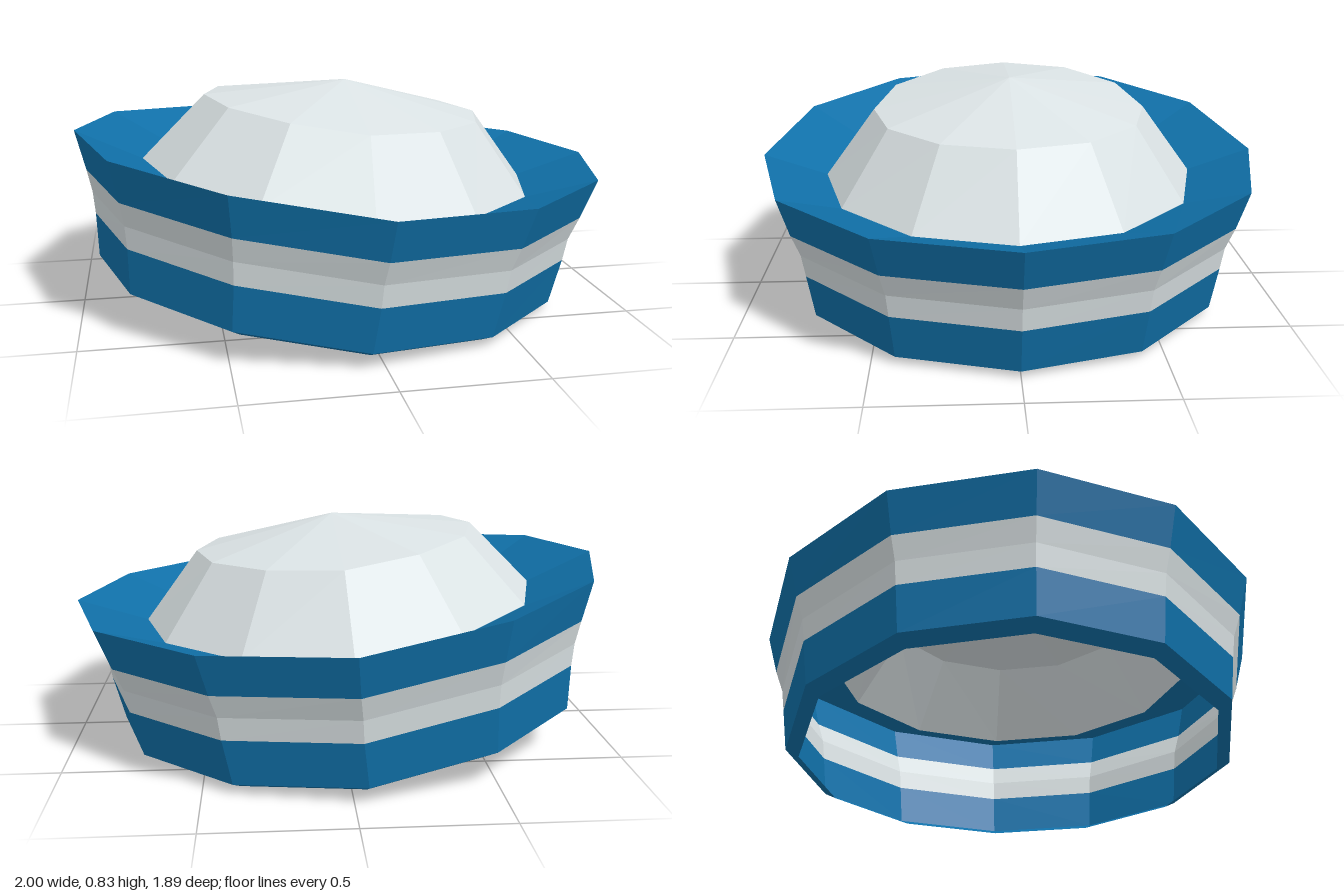
import * as THREE from 'three';

const SIDES = 12;

// Extra height across the hat: the right-hand side (-x) sweeps upward.
const SWEEP = [[-1, 0.165], [-0.5, 0.104], [0, 0.03], [0.5, 0.01], [1, 0]];
function sweep(x) {
  const i = Math.min(3, Math.max(0, Math.floor((x + 1) / 0.5)));
  const [x0, h0] = SWEEP[i], [x1, h1] = SWEEP[i + 1];
  return h0 + (h1 - h0) * (x - x0) / (x1 - x0);
}

// Cross-sections from the bottom lip up to the apex: centre x, radius x, radius z, height.
const lip = [-0.045, 0.835, 0.785, 0];
const foot = [-0.047, 0.887, 0.835, 0.025];
const stripeLow = [-0.027, 0.912, 0.86, 0.192];
const stripeMid = [-0.022, 0.924, 0.873, 0.275];
const stripeHigh = [-0.012, 0.952, 0.905, 0.36];
const rim = [0, 1, 0.947, 0.506];
const crownBase = [-0.01, 0.745, 0.71, 0.42];
const shoulder = [0.01, 0.528, 0.517, 0.685];
const apex = [0.02, 0, 0, 0.805];

function ringPoint([cx, rx, rz, y], i) {
  const a = (i / SIDES) * Math.PI * 2;
  const x = cx + rx * Math.cos(a);
  return [x, y + sweep(x), rz * Math.sin(a)];
}

// Faceted skin through successive rings.
function loft(name, rings, material) {
  const pos = [];
  for (let r = 0; r < rings.length - 1; r++) {
    for (let i = 0; i < SIDES; i++) {
      const a = ringPoint(rings[r], i), b = ringPoint(rings[r], i + 1);
      const c = ringPoint(rings[r + 1], i), d = ringPoint(rings[r + 1], i + 1);
      pos.push(...a, ...c, ...b);
      if (rings[r + 1][1] > 0) pos.push(...b, ...c, ...d);
    }
  }
  const geometry = new THREE.BufferGeometry();
  geometry.setAttribute('position', new THREE.Float32BufferAttribute(pos, 3));
  geometry.computeVertexNormals();
  const mesh = new THREE.Mesh(geometry, material);
  mesh.name = name;
  return mesh;
}

export function createModel() {
  const make = (name, color) => {
    const m = new THREE.MeshStandardMaterial({ color, flatShading: true, side: THREE.DoubleSide });
    m.name = name;
    return m;
  };
  const blue = make('blue cloth', 0x1070a8);
  const white = make('white cloth', 0xdae2e4);

  const hat = new THREE.Group();
  hat.name = 'sailorHat';
  hat.add(
    loft('lowerBand', [lip, foot, stripeLow], blue),
    loft('whiteStripe', [stripeLow, stripeMid, stripeHigh], white),
    loft('upperBand', [stripeHigh, rim], blue),
    loft('brimInside', [rim, crownBase], blue),
    loft('crownSide', [crownBase, shoulder], white),
    loft('crownTop', [shoulder, apex], white),
  );
  return hat;
}
